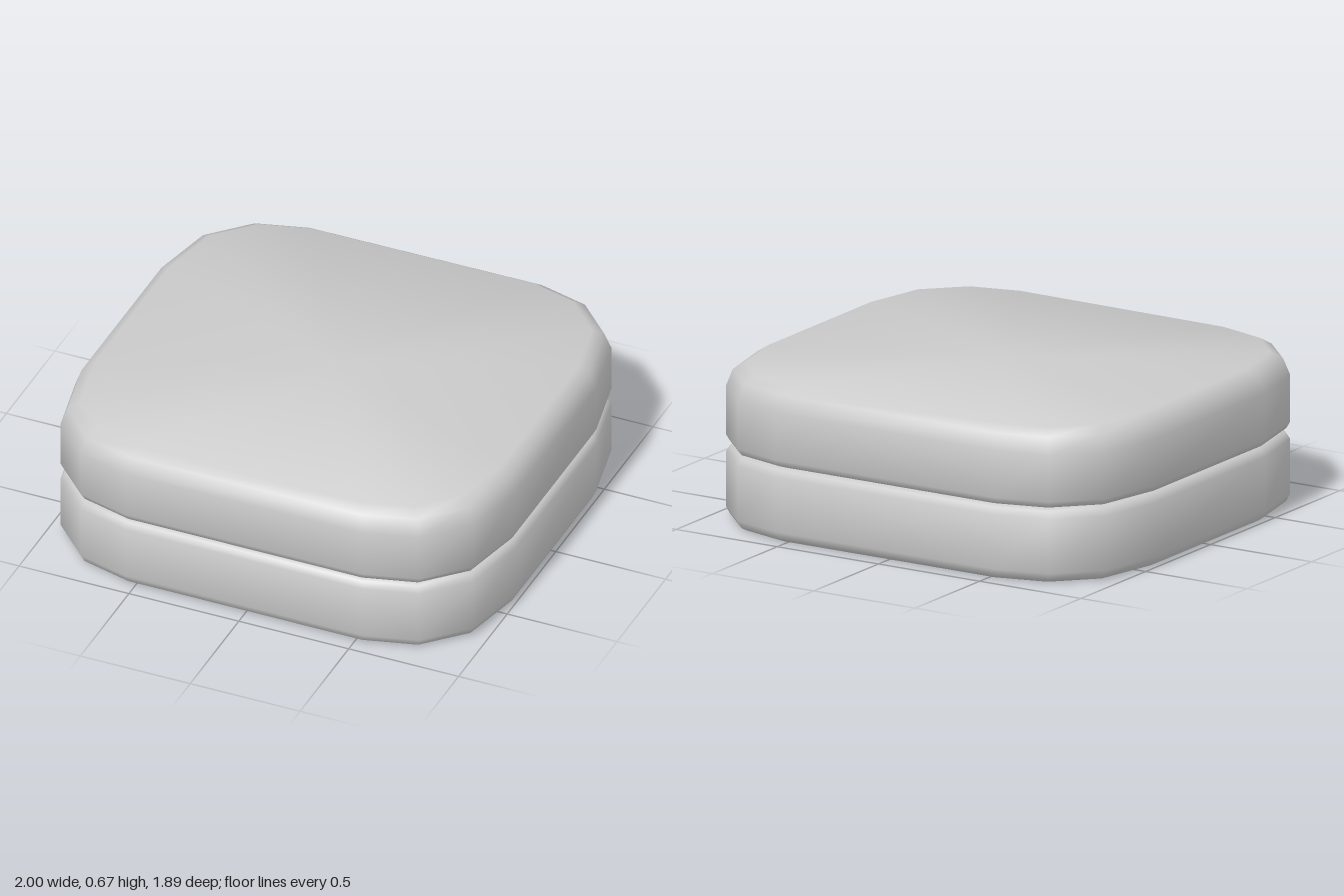
import * as THREE from 'three';
import { toCreasedNormals } from 'three/addons/utils/BufferGeometryUtils.js';

const material = new THREE.MeshStandardMaterial({ color: 0xcccccc });

// Corner points of the rounded square in one quadrant, from the side to the back
const OUTER = [[1, 0.42], [0.937, 0.715], [0.77, 0.885], [0.54, 0.947]];
const HOLE = [[0.75, 0.25], [0.69, 0.47], [0.55, 0.645], [0.37, 0.71]];

// Mirror a quadrant into a full loop, anticlockwise seen from above
function fullLoop(quadrant) {
  const back = [...quadrant].reverse();
  return [
    ...quadrant.map(([x, z]) => [x, -z]),
    ...back.map(([x, z]) => [-x, -z]),
    ...quadrant.map(([x, z]) => [-x, z]),
    ...back.map(([x, z]) => [x, z]),
  ];
}

// Skin a list of rings { loop, scale, y }; a scale of 0 closes the end in a point
function loft(rings) {
  const positions = [];
  const index = [];
  const n = rings[0].loop.length;
  for (const { loop, scale, y } of rings) {
    for (const [x, z] of loop) positions.push(x * scale, y, z * scale);
  }
  for (let i = 0; i < rings.length - 1; i++) {
    for (let j = 0; j < n; j++) {
      const a = i * n + j;
      const b = i * n + (j + 1) % n;
      if (rings[i].scale > 0) index.push(a, b, b + n);
      if (rings[i + 1].scale > 0) index.push(a, b + n, a + n);
    }
  }
  const geometry = new THREE.BufferGeometry();
  geometry.setAttribute('position', new THREE.Float32BufferAttribute(positions, 3));
  geometry.setIndex(index);
  return geometry;
}

function addPart(group, name, geometry) {
  const mesh = new THREE.Mesh(toCreasedNormals(geometry, 0.95), material);
  mesh.name = name;
  group.add(mesh);
}

export function createModel() {
  const group = new THREE.Group();
  group.name = 'roundedSquareBox';
  const outer = fullLoop(OUTER);
  const hole = fullLoop(HOLE);
  const edge = ([scale, y]) => ({ loop: outer, scale, y });

  // Lower frame: open ring with chamfered outer edges
  const frame = loft([
    { loop: hole, scale: 1, y: 0.318 },
    { loop: hole, scale: 1, y: 0 },
    ...[[0.965, 0], [0.985, 0.012], [1, 0.045], [1, 0.28], [0.985, 0.308], [0.965, 0.318]].map(edge),
    { loop: hole, scale: 1, y: 0.318 },
  ]);
  addPart(group, 'lowerFrame', frame);

  // Upper slab: solid, softly rounded on top, leaning very slightly
  const slab = loft([[0, 0.32], [0.965, 0.32], [0.985, 0.327], [1, 0.355], [1, 0.56],
    [0.975, 0.632], [0.93, 0.662], [0, 0.666]].map(edge));
  const p = slab.attributes.position;
  for (let i = 0; i < p.count; i++) {
    const lift = (p.getY(i) - 0.32) / 0.346;
    p.setY(i, p.getY(i) + lift * (0.006 * p.getX(i) + 0.002 * p.getZ(i)));
  }
  addPart(group, 'upperSlab', slab);

  return group;
}
